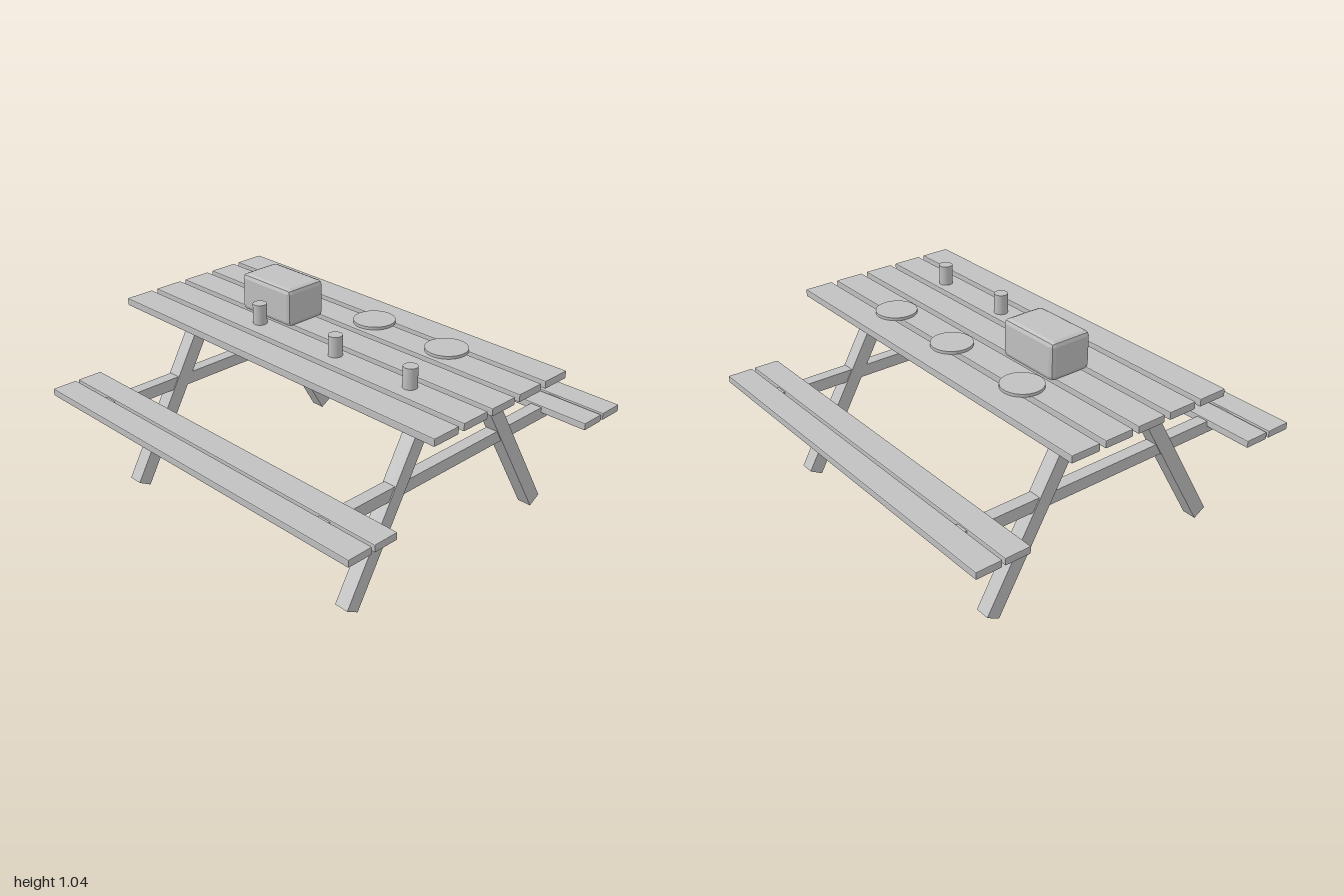
import * as THREE from 'three';
import { RoundedBoxGeometry } from 'three/addons/geometries/RoundedBoxGeometry.js';

export function createModel() {
  const model = new THREE.Group();
  model.name = 'picnicTable';
  const grey = new THREE.MeshStandardMaterial({ color: 0xc0c0c0 });
  grey.name = 'plain grey';

  function add(name, geometry, x, y, z) {
    // crisp facets for boxes and chamfers, smooth sides for cylinders
    if (geometry.type !== 'CylinderGeometry') {
      if (geometry.index) geometry = geometry.toNonIndexed();
      geometry.computeVertexNormals();
    }
    const mesh = new THREE.Mesh(geometry, grey);
    mesh.name = name;
    mesh.position.set(x, y, z);
    model.add(mesh);
    return mesh;
  }
  const chamferBox = (w, h, d, r) => new RoundedBoxGeometry(w, h, d, 1, r);

  // Five tabletop planks
  for (let i = -2; i <= 2; i++) {
    add('tablePlank', chamferBox(1.994, 0.037, 0.148, 0.005), 0, 0.8455, i * 0.178);
  }

  // Benches: two planks over a long rail on each side
  for (const s of [1, -1]) {
    for (const z of [0.69, 0.832]) {
      add('benchPlank', chamferBox(1.994, 0.036, 0.128, 0.005), 0, 0.512, s * z);
    }
    add('benchRail', new THREE.BoxGeometry(1.77, 0.056, 0.053), 0, 0.468, s * 0.757);
  }

  // End frames: slanted legs crossed by a beam that carries the benches
  const tilt = Math.PI / 6;
  const bottomY = 0.018, topY = 0.843, footZ = 0.628;
  const rise = topY - bottomY;
  for (const x of [-0.723, 0.723]) {
    for (const s of [1, -1]) {
      const leg = add('leg', new THREE.BoxGeometry(0.072, rise / Math.cos(tilt), 0.072),
        x, (bottomY + topY) / 2, s * (footZ - (rise / 2) * Math.tan(tilt)));
      leg.rotation.x = -s * tilt;
    }
    add('crossBeam', new THREE.BoxGeometry(0.061, 0.06, 1.664), x, 0.492, 0);
  }

  // Chamfered cooler box
  add('coolerBox', chamferBox(0.332, 0.183, 0.217, 0.022), -0.337, 0.953, 0);

  // Cups along the front, plates along the back
  for (const x of [-0.313, 0.187, 0.63]) {
    add('cup', new THREE.CylinderGeometry(0.033, 0.033, 0.098, 32), x, 0.913, 0.165);
  }
  for (const x of [-0.447, 0.053, 0.497]) {
    add('plate', new THREE.CylinderGeometry(0.099, 0.099, 0.015, 48), x, 0.8705, -0.225);
  }
  return model;
}
